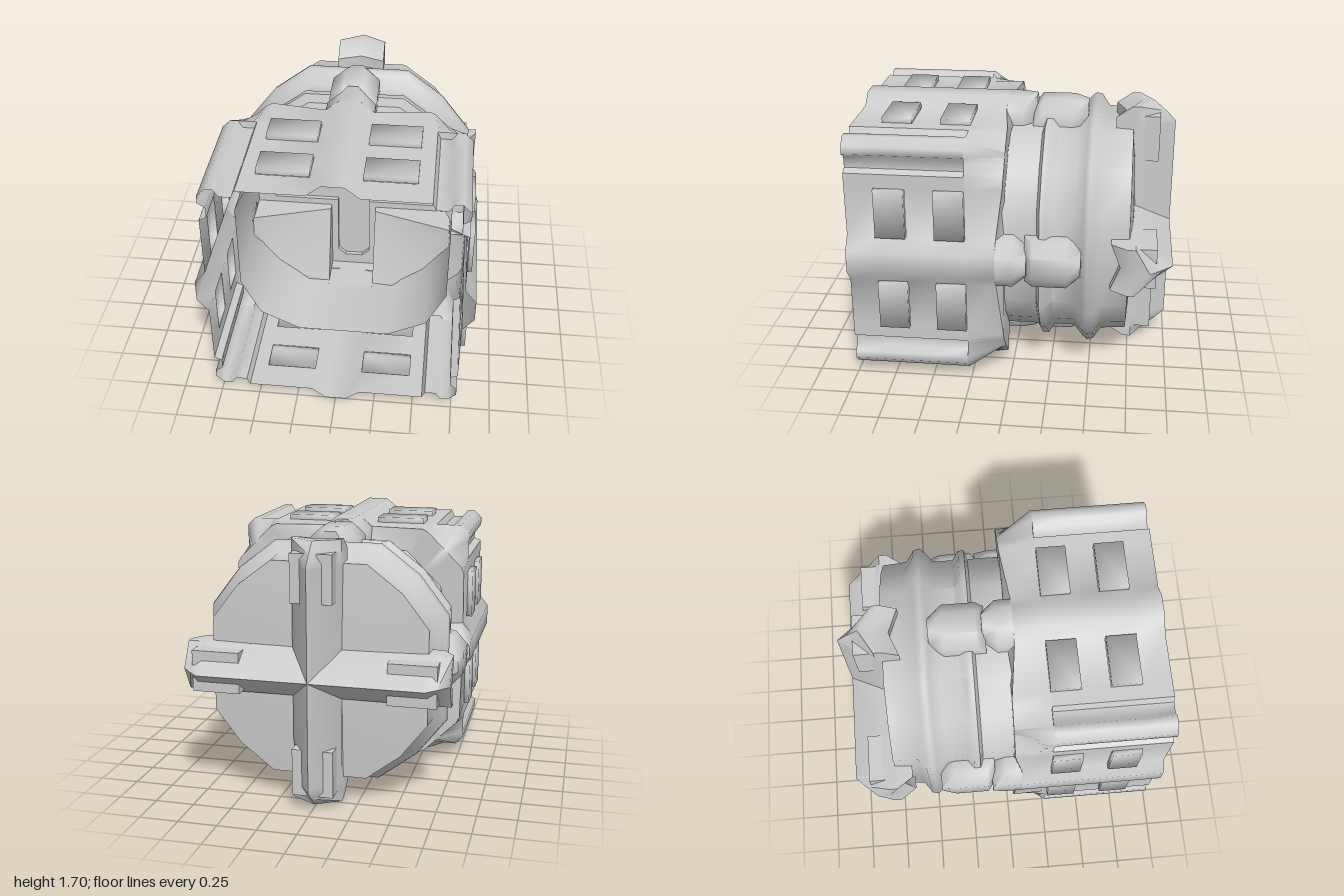
import * as THREE from 'three';
import { toCreasedNormals } from 'three/addons/utils/BufferGeometryUtils.js';

const material = new THREE.MeshStandardMaterial({ color: 0xcccccc, side: THREE.DoubleSide });

function mesh(name, geometry) {
  const m = new THREE.Mesh(geometry, material);
  m.name = name;
  return m;
}

// Skin a list of closed rings of [x, y, z]; optional end caps and skipped quads
function loft(rings, { capStart = false, capEnd = false, skip = () => false, crease = 1.1 } = {}) {
  const pos = [];
  const n = rings[0].length;
  const tri = (a, b, c) => pos.push(...a, ...b, ...c);
  for (let i = 0; i < rings.length - 1; i++) {
    for (let j = 0; j < n; j++) {
      if (skip(i, j)) continue;
      const k = (j + 1) % n;
      const a = rings[i][j], b = rings[i][k], c = rings[i + 1][k], d = rings[i + 1][j];
      tri(a, d, c);
      tri(a, c, b);
    }
  }
  const first = rings[0], last = rings[rings.length - 1];
  for (let j = 1; j < n - 1; j++) {
    if (capStart) tri(first[0], first[j], first[j + 1]);
    if (capEnd) tri(last[0], last[j + 1], last[j]);
  }
  const g = new THREE.BufferGeometry();
  g.setAttribute('position', new THREE.Float32BufferAttribute(pos, 3));
  return toCreasedNormals(g, crease);
}

// Repeat a one-side outline [across, out] around four sides
function fourSides(points) {
  const out = [];
  for (let k = 0; k < 4; k++) {
    const c = Math.round(Math.cos(k * Math.PI / 2)), s = Math.round(Math.sin(k * Math.PI / 2));
    for (const [x, y] of points) out.push([x * c - y * s, x * s + y * c]);
  }
  return out;
}
const mirrored = (half) => fourSides([...half, ...half.slice().reverse().map(([x, y]) => [-x, y])]);
const atZ = (outline, z) => outline.map(([x, y]) => [x, y, z]);
const toVec = ([x, y]) => new THREE.Vector2(x, y);

// Housing: ribbed square shell with grooved corners, window gaps and cut rear corners
function housing() {
  const side = (depth) => mirrored([[0.73, 0.78], [0.68, 0.78], [0.65, depth], [0.58, depth],
    [0.56, 0.78], [0.47, 0.78], [0.155, 0.78], [0.068, 0.85]]);
  const grooved = side(0.735), plain = side(0.78);
  const cut = mirrored([[0.65, 0.65], [0.63, 0.67], [0.61, 0.69], [0.56, 0.74],
    [0.54, 0.76], [0.5, 0.78], [0.155, 0.78], [0.068, 0.85]]);
  const inner = cut.map(([x, y]) => {
    const a = Math.abs(x), b = Math.abs(y);
    const f = Math.max(a / 0.68, b / 0.68, (a + b) / 1.03);
    return [x / f, y / f];
  });
  const rings = [1, 0.82, 0.63, 0.45, 0.27].map((z) => atZ(grooved, z));
  rings.push(atZ(plain, 0.265));
  // The rear rim sits further forward beside the ribs
  rings.push(cut.map(([x, y]) => [x, y, Math.min(Math.abs(x), Math.abs(y)) < 0.2 ? 0.08 : 0.035]));
  rings.push(atZ(inner, 0.04));
  const skip = (i, j) => {
    const q = j % 16;
    const isWindow = (i === 1 || i === 3) && (q === 5 || q === 9);
    const isRibMouth = i === 6 && q >= 6 && q <= 8;
    return isWindow || isRibMouth;
  };
  return mesh('housing', loft(rings, { skip }));
}

const drumOutline = (r, diagonal) =>
  fourSides([[0.3, 0.68], [-0.3, 0.68], [-diagonal, diagonal]])
    .map(([x, y]) => [x * r / 0.68, y * r / 0.68]);

// Drum: octagonal tube with two raised bands and a shallow rear cone
function drum() {
  const rings = [atZ(drumOutline(0.68, 0.555), 0.55)];
  const profile = [[0.04, 0.68], [-0.16, 0.68], [-0.18, 0.735], [-0.22, 0.735], [-0.26, 0.68],
    [-0.39, 0.68], [-0.45, 0.745], [-0.48, 0.767], [-0.52, 0.757], [-0.57, 0.69],
    [-0.73, 0.68], [-0.75, 0.45], [-0.77, 0.01]];
  for (const [z, r] of profile) rings.push(atZ(drumOutline(r, 0.515), z));
  return mesh('drum', loft(rings));
}

// Flat plate whose front lies at z = front
function plate(name, shape, front, depth) {
  const g = new THREE.ExtrudeGeometry(shape, { depth, bevelEnabled: false });
  g.translate(0, 0, front - depth);
  return mesh(name, g);
}

// Inner plate with a cross-shaped recess, and the floor behind it
function innerPlates() {
  const outline = drumOutline(0.68, 0.515).map(toVec);
  const arm = [[0.11, 0.11], [0.11, 0.55], [0.06, 0.6], [-0.06, 0.6], [-0.11, 0.55]];
  const crossed = new THREE.Shape(outline);
  crossed.holes.push(new THREE.Path(fourSides(arm).map(toVec)));
  return [plate('crossPlate', crossed, -0.17, 0.03),
    plate('recessFloor', new THREE.Shape(outline), -0.2, 0.01)];
}

// One quarter of the dished inner face, sloping back towards the middle
function quarterPlate() {
  const front = [[0.155, 0.155, -0.12], [0.675, 0.155, 0.04], [0.675, 0.3, 0.04],
    [0.513, 0.513, 0.04], [0.3, 0.675, 0.04], [0.155, 0.675, 0.04]];
  const back = front.map(([x, y]) => [x, y, -0.17]);
  return mesh('quarterPlate', loft([front, back], { capStart: true }));
}

// Bevelled block along z from stations [z, half width, top height]
function ridgeBlock(name, stations, capStart) {
  const rings = stations.map(([z, w, h]) => atZ([
    [w, 0.675], [w, h - 0.075], [w * 0.45, h], [-w * 0.45, h], [-w, h - 0.075], [-w, 0.675]], z));
  return mesh(name, loft(rings, { capStart, capEnd: true }));
}

// Rear cross arm: ridged bar, stations [distance, ridge z, shoulder z, base z]
function rearArm() {
  const w = 0.155;
  const rings = [
    [0, -1, -0.77, -0.72], [0.67, -1, -0.77, -0.72], [0.68, -1, -0.77, -0.62],
    [0.7, -1, -0.77, -0.62], [0.76, -0.94, -0.77, -0.62], [0.83, -0.86, -0.77, -0.72],
  ].map(([s, ridge, shoulder, base]) => [
    [0, s, ridge], [w, s, shoulder], [w, s, base],
    [0, s, s > 0.67 ? base - 0.06 : base], [-w, s, base], [-w, s, shoulder]]);
  return mesh('rearArm', loft(rings, { capStart: true, capEnd: true, crease: 0.8 }));
}

// Raised window cover with soft shading, open towards the inside
function windowCover(x, z) {
  const g = new THREE.BoxGeometry(0.315, 0.035, 0.185);
  const index = Array.from(g.index.array);
  index.splice(18, 6);
  g.setIndex(index);
  g.clearGroups();
  g.translate(x, 0.7975, z);
  return mesh('windowCover', toCreasedNormals(g, 2));
}

export function createModel() {
  const model = new THREE.Group();
  model.name = 'model';
  const body = new THREE.Group();
  body.name = 'body';
  body.position.y = 0.855;
  model.add(body);
  body.add(housing(), drum(), ...innerPlates());

  // Parts repeated on all four sides
  for (let k = 0; k < 4; k++) {
    const side = new THREE.Group();
    side.name = 'sideParts';
    side.rotation.z = k * Math.PI / 2;
    side.add(ridgeBlock('ribEnd', [[0.08, 0.155, 0.85], [-0.02, 0.155, 0.85], [-0.11, 0.075, 0.85]], false));
    side.add(ridgeBlock('clamp', [[-0.09, 0.155, 0.77], [-0.14, 0.155, 0.84],
      [-0.35, 0.155, 0.84], [-0.44, 0.08, 0.82]], true));
    side.add(rearArm(), quarterPlate());
    const block = mesh('armBlock', new THREE.BoxGeometry(0.26, 0.3, 0.14));
    block.position.set(0, 0.61, -0.83);
    side.add(block);
    for (const x of [-0.3125, 0.3125]) {
      for (const z of [0.36, 0.725]) side.add(windowCover(x, z));
    }
    body.add(side);
  }
  return model;
}
